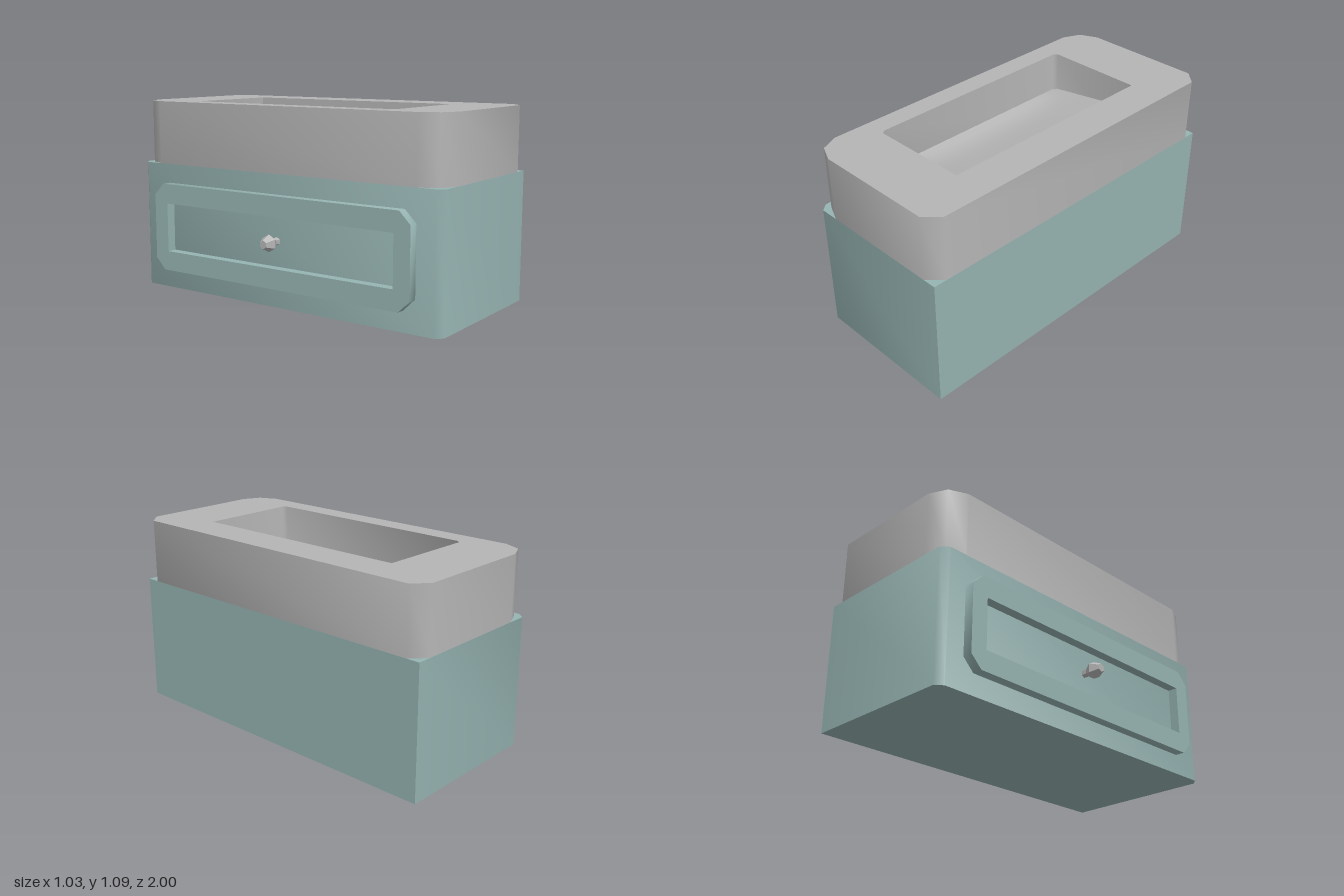
import * as THREE from 'three';
import { toCreasedNormals } from 'three/addons/utils/BufferGeometryUtils.js';

const teal = new THREE.MeshStandardMaterial({ color: 0x96b4b2 });
teal.name = 'paintedTeal';
const grey = new THREE.MeshStandardMaterial({ color: 0xb5b5b6 });
grey.name = 'ceramicGrey';

const points = (list) => list.map(([x, y]) => new THREE.Vector2(x, y));

// Completes an outline by mirroring its upper half across the x axis.
const mirrored = (half) => points([...half, ...half.map(([x, y]) => [x, -y]).reverse()]);

// Extruded slab whose shallow corners shade smoothly.
function slab(outline, depth, hole) {
  const shape = new THREE.Shape(outline);
  if (hole) shape.holes.push(new THREE.Path(hole));
  const geometry = new THREE.ExtrudeGeometry(shape, { depth, bevelEnabled: false });
  return toCreasedNormals(geometry, 0.9);
}

function add(group, name, geometry, material) {
  const mesh = new THREE.Mesh(geometry, material);
  mesh.name = name;
  group.add(mesh);
  return mesh;
}

export function createModel() {
  const model = new THREE.Group();
  model.name = 'vanityWithBasin';

  // Cabinet with narrow chamfers on the drawer side
  const cabinet = slab(mirrored([[0.513, 1], [-0.36, 1], [-0.395, 0.96]]), 0.73);
  add(model, 'cabinet', cabinet.rotateX(-Math.PI / 2), teal);

  // Thick basin block with softened corners and a rectangular opening
  const rim = mirrored([[0.513, 0.925], [0.435, 1], [-0.25, 1], [-0.35, 0.955], [-0.395, 0.855]]);
  const opening = mirrored([[0.3, 0.655], [-0.255, 0.655], [-0.275, 0.635]]);
  const basin = slab(rim, 0.36, opening).rotateX(-Math.PI / 2).translate(0, 0.73, 0);
  add(model, 'basin', basin, grey);

  // Dished basin floor, deeper on the drawer side
  const floor = new THREE.PlaneGeometry(0.575, 1.31, 14, 28).rotateX(-Math.PI / 2);
  const pos = floor.attributes.position;
  for (let i = 0; i < pos.count; i++) {
    const u = pos.getX(i) / 0.2875, v = pos.getZ(i) / 0.655;
    const edge = 0.9025 + 0.0425 * u;
    pos.setY(i, edge - 0.05 * (1 - u ** 4) * (1 - v ** 4));
  }
  floor.computeVertexNormals();
  add(model, 'basinFloor', floor.translate(0.0125, 0, 0), grey);

  // Drawer frame with clipped corners around a recessed panel
  const a = 0.855, b = 0.2525, c = 0.065;
  const frame = slab(
    mirrored([[a, b - c], [a - c, b], [c - a, b], [-a, b - c]]),
    0.055,
    mirrored([[0.76, 0.14], [-0.76, 0.14]]),
  );
  add(model, 'drawerFrame', frame.rotateY(-Math.PI / 2).translate(-0.395, 0.3675, 0), teal);

  // Six-sided drawer knob
  const profile = points([[0.022, 0], [0.022, 0.03], [0.036, 0.05], [0.048, 0.07], [0.024, 0.12], [0, 0.12]]);
  const knob = toCreasedNormals(new THREE.LatheGeometry(profile, 6, Math.PI / 2), 0.3);
  add(model, 'knob', knob.rotateZ(Math.PI / 2).translate(-0.395, 0.3675, 0), grey);

  return model;
}
